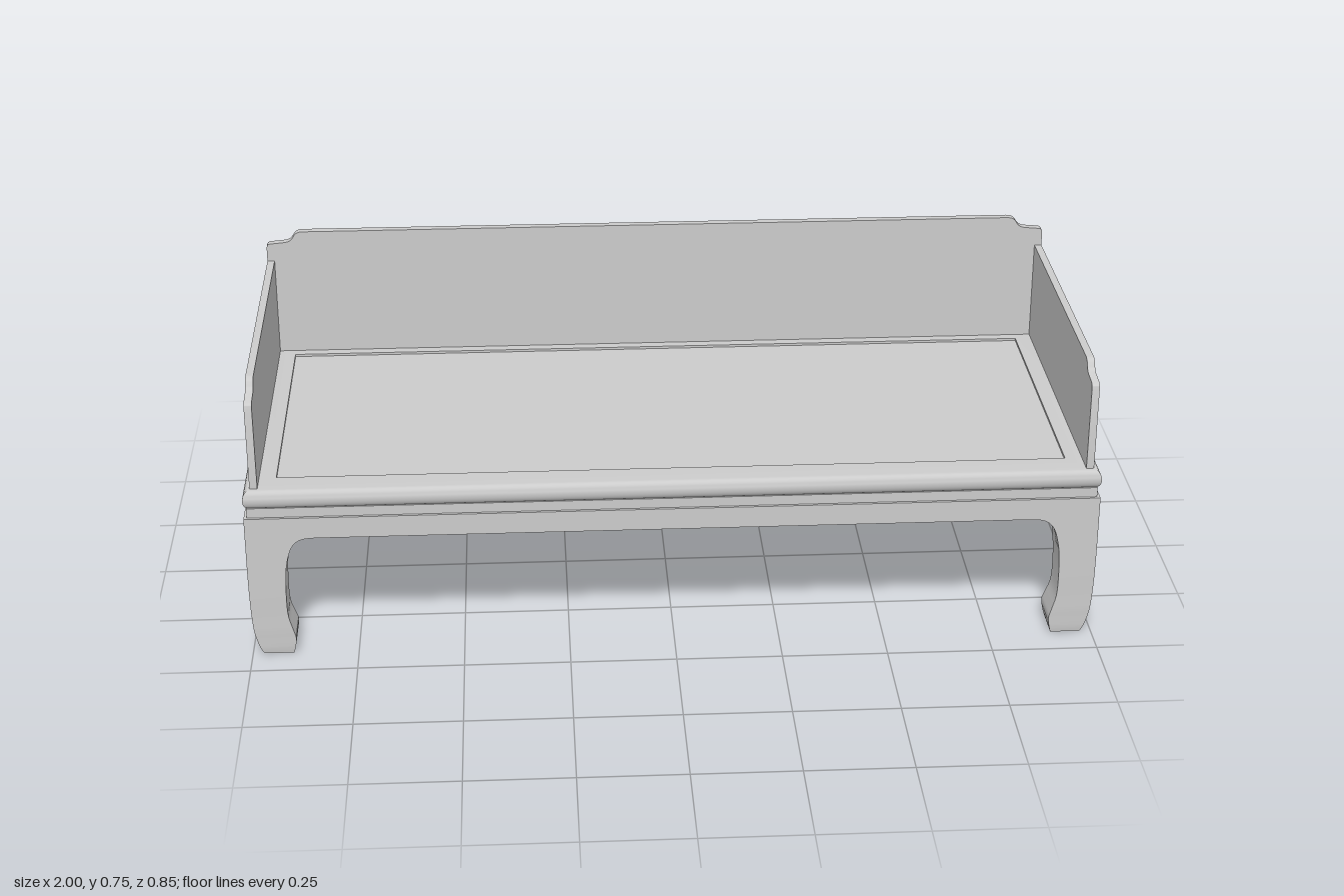
import * as THREE from 'three';
import { toCreasedNormals } from 'three/addons/utils/BufferGeometryUtils.js';

const material = new THREE.MeshStandardMaterial({ color: 0xcccccc });

function fromQuads(quads, crease = 0.6) {
  const pos = [];
  for (const [a, b, c, d] of quads) for (const p of [a, b, c, a, c, d]) pos.push(...p);
  const g = new THREE.BufferGeometry();
  g.setAttribute('position', new THREE.Float32BufferAttribute(pos, 3));
  return toCreasedNormals(g, crease);
}

// Mitred rectangular moulding: closed profile of [inset, y], going up on the outside
function moulding(hx, hz, profile) {
  const signs = [[1, 1], [1, -1], [-1, -1], [-1, 1]];
  const at = (k, [inset, y]) => [signs[k % 4][0] * (hx - inset), y, signs[k % 4][1] * (hz - inset)];
  const quads = [];
  profile.forEach((a, i) => {
    const b = profile[(i + 1) % profile.length];
    for (let k = 0; k < 4; k++) quads.push([at(k, a), at(k + 1, a), at(k + 1, b), at(k, b)]);
  });
  return fromQuads(quads);
}

// Leg lofted through rectangular sections: [y, outer x, inner x, outer z, inner z]
const legKeys = [
  [0, 0.973, 0.903, 0.419, 0.334],
  [0.015, 0.981, 0.899, 0.421, 0.329],
  [0.04, 0.989, 0.896, 0.422, 0.325],
  [0.065, 0.994, 0.902, 0.423, 0.332],
  [0.1, 0.997, 0.911, 0.423, 0.34],
  [0.15, 0.999, 0.913, 0.424, 0.343],
  [0.22, 1, 0.91, 0.424, 0.338],
  [0.28, 1, 0.9, 0.424, 0.326],
  [0.305, 1, 0.887, 0.424, 0.31],
];
function legGeometry(sx, sz) {
  const curve = (i) => new THREE.CatmullRomCurve3(legKeys.map((k) => new THREE.Vector3(k[0], k[i], k[i + 1])), false, 'centripetal');
  const n = 32, xs = curve(1).getPoints(n), zs = curve(3);
  const rings = xs.map((p, j) => {
    const q = zs.getPoint(j / n);
    return [[p.y, q.y], [p.y, q.z], [p.z, q.z], [p.z, q.y]].map(([x, z]) => [sx * x, p.x, sz * z]);
  });
  rings.push(rings[n].map(([x, , z]) => [x, 0.36, z]));
  const quads = [[...rings[0]].reverse(), rings[rings.length - 1]];
  for (let j = 0; j < rings.length - 1; j++)
    for (let k = 0; k < 4; k++) {
      const m = (k + 1) % 4;
      quads.push([rings[j][k], rings[j][m], rings[j + 1][m], rings[j + 1][k]]);
    }
  return fromQuads(sx * sz < 0 ? quads.map((q) => q.reverse()) : quads, 0.5);
}

function extrude(shape, depth) {
  return toCreasedNormals(new THREE.ExtrudeGeometry(shape, { depth, bevelEnabled: false, curveSegments: 10 }), 0.5);
}

// Apron with curved spandrels that run into the legs
function apronGeometry(half, reach) {
  const s = new THREE.Shape();
  s.moveTo(half, 0.36);
  s.lineTo(-half, 0.36);
  s.lineTo(-half, 0.21);
  s.bezierCurveTo(-half + 0.012, 0.29, -half + 0.02, 0.307, -half + reach, 0.307);
  s.lineTo(half - reach, 0.307);
  s.bezierCurveTo(half - 0.02, 0.307, half - 0.012, 0.29, half, 0.21);
  return extrude(s, 0.035);
}

// Stepped, rounded top corner of a rail; it rises inward from the end at x = e
function backShape(e, base, low, top) {
  const s = new THREE.Shape();
  s.moveTo(-e, base);
  s.lineTo(e, base);
  s.lineTo(e, low - 0.012);
  s.quadraticCurveTo(e, low, e - 0.012, low);
  s.lineTo(e - 0.045, low + 0.003);
  s.bezierCurveTo(e - 0.075, low + 0.006, e - 0.06, top, e - 0.092, top);
  s.lineTo(-e + 0.092, top);
  s.bezierCurveTo(-e + 0.06, top, -e + 0.075, low + 0.006, -e + 0.045, low + 0.003);
  s.lineTo(-e + 0.012, low);
  s.quadraticCurveTo(-e, low, -e, low - 0.012);
  return s;
}
function sideShape(front, back, base, low, top) {
  const s = new THREE.Shape();
  s.moveTo(back, base);
  s.lineTo(front, base);
  s.lineTo(front, low - 0.013);
  s.quadraticCurveTo(front, low, front - 0.015, low + 0.002);
  s.lineTo(front - 0.05, low + 0.005);
  s.bezierCurveTo(front - 0.072, low + 0.008, front - 0.062, top, front - 0.09, top);
  s.lineTo(back, top);
  return s;
}

export function createModel() {
  const model = new THREE.Group();
  const add = (name, geometry) => {
    const mesh = new THREE.Mesh(geometry, material);
    mesh.name = name;
    model.add(mesh);
    return mesh;
  };

  // Seat frame with a rounded outer edge
  const edge = [];
  for (let i = 0; i <= 12; i++) {
    const t = (i / 12 - 0.5) * Math.PI;
    edge.push([0.016 * (1 - Math.cos(t)), 0.4065 + 0.0235 * Math.sin(t)]);
  }
  add('seatFrame', moulding(1, 0.425, [...edge, [0.075, 0.43], [0.075, 0.383]]));

  // Recessed seat panel
  add('seatPanel', new THREE.BoxGeometry(1.85, 0.022, 0.7)).position.y = 0.413;

  // Waist set back under the frame
  add('waist', moulding(0.993, 0.417, [[0, 0.358], [0, 0.384], [0.045, 0.384], [0.045, 0.358]]));

  // Aprons on four sides
  for (const [name, turn, half, reach, out] of [
    ['frontApron', 0, 0.912, 0.075, 0.424], ['backApron', 2, 0.912, 0.075, 0.424],
    ['leftApron', 1, 0.341, 0.09, 1], ['rightApron', 3, 0.341, 0.09, 1],
  ]) {
    const geometry = apronGeometry(half, reach);
    geometry.translate(0, 0, out - 0.035);
    add(name, geometry).rotation.y = turn * Math.PI / 2;
  }

  // Legs
  for (const sx of [1, -1])
    for (const sz of [1, -1])
      add((sz > 0 ? 'front' : 'back') + (sx > 0 ? 'Left' : 'Right') + 'Leg', legGeometry(sx, sz));

  // Back rail and two lower side rails
  add('backRail', extrude(backShape(0.983, 0.43, 0.724, 0.755), 0.02)).position.z = -0.395;
  for (const sx of [1, -1]) {
    const rail = add(sx > 0 ? 'leftRail' : 'rightRail', extrude(sideShape(0.407, -0.375, 0.43, 0.646, 0.678), 0.018));
    rail.rotation.y = -Math.PI / 2;
    rail.position.x = sx > 0 ? 0.983 : -0.965;
  }
  return model;
}
